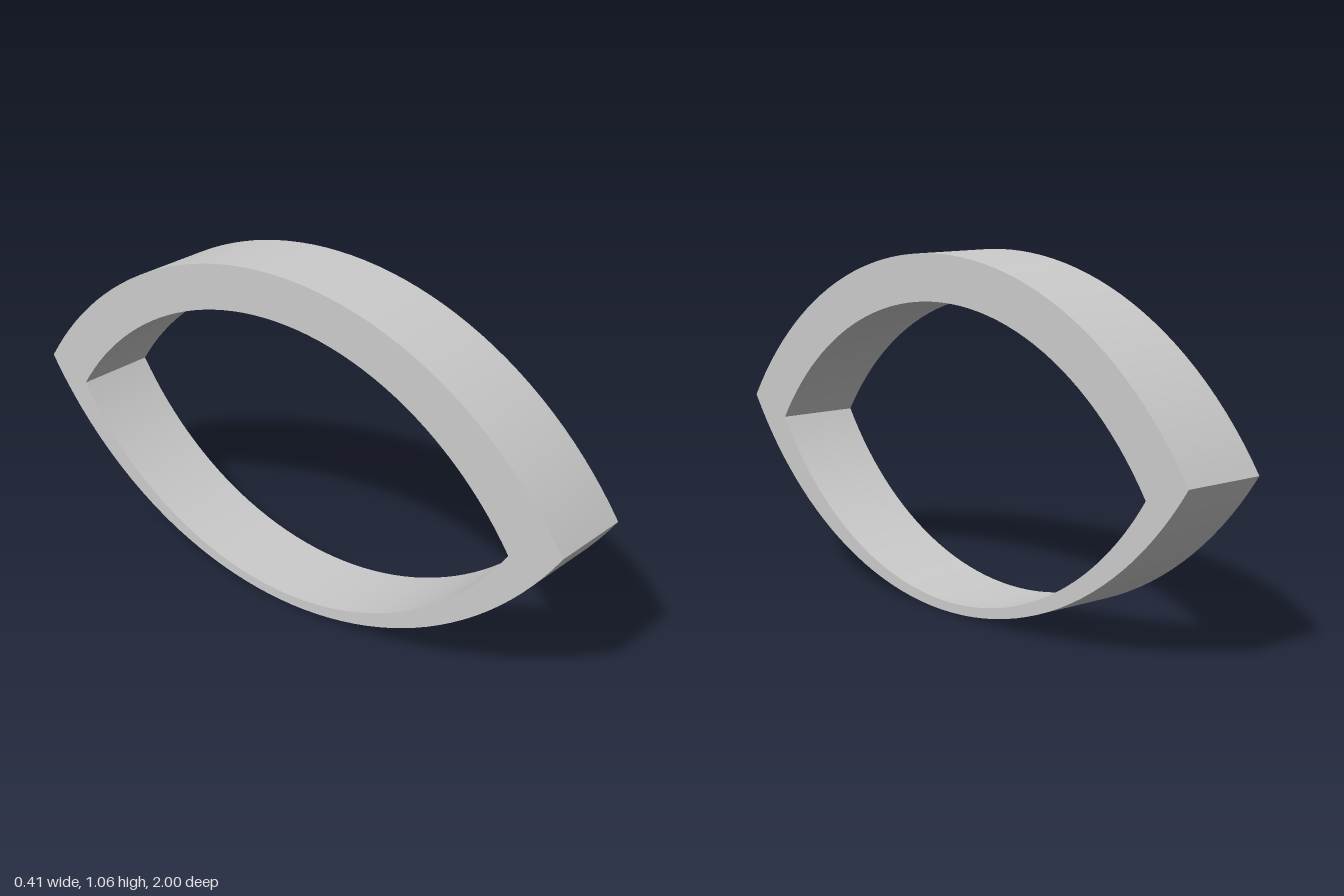
import * as THREE from 'three';
import { toCreasedNormals } from 'three/addons/utils/BufferGeometryUtils.js';

const ARC_STEPS = 48;

// Pointed oval: two circular arcs meeting at a left and a right tip
function lensPoints(half, sag, cx, cy) {
  const r = (half * half + sag * sag) / (2 * sag);
  const a = Math.asin(half / r);
  const pts = [];
  for (const side of [1, -1]) {
    for (let i = 0; i < ARC_STEPS; i++) {
      const t = -a + (2 * a * i) / ARC_STEPS;
      pts.push(new THREE.Vector2(
        cx - side * r * Math.sin(t),
        cy + side * (sag - r + r * Math.cos(t))
      ));
    }
  }
  return pts;
}

export function createModel() {
  const group = new THREE.Group();
  group.name = 'pointedOvalRing';

  // Ring profile: the opening sits low, so the upper band is thicker
  const shape = new THREE.Shape(lensPoints(0.993, 0.53, 0, 0.53));
  shape.holes.push(new THREE.Path(lensPoints(0.833, 0.445, -0.01, 0.475)));

  const depth = 0.265;
  const extruded = new THREE.ExtrudeGeometry(shape, { depth, bevelEnabled: false });
  extruded.translate(0, 0, -depth / 2);

  // Length runs along z, turned slightly about the upright axis
  extruded.rotateY(-Math.PI / 2 + THREE.MathUtils.degToRad(4.2));

  const ring = new THREE.Mesh(
    toCreasedNormals(extruded, 0.5),
    new THREE.MeshStandardMaterial({ color: 0xcccccc })
  );
  ring.name = 'ring';
  group.add(ring);
  return group;
}
